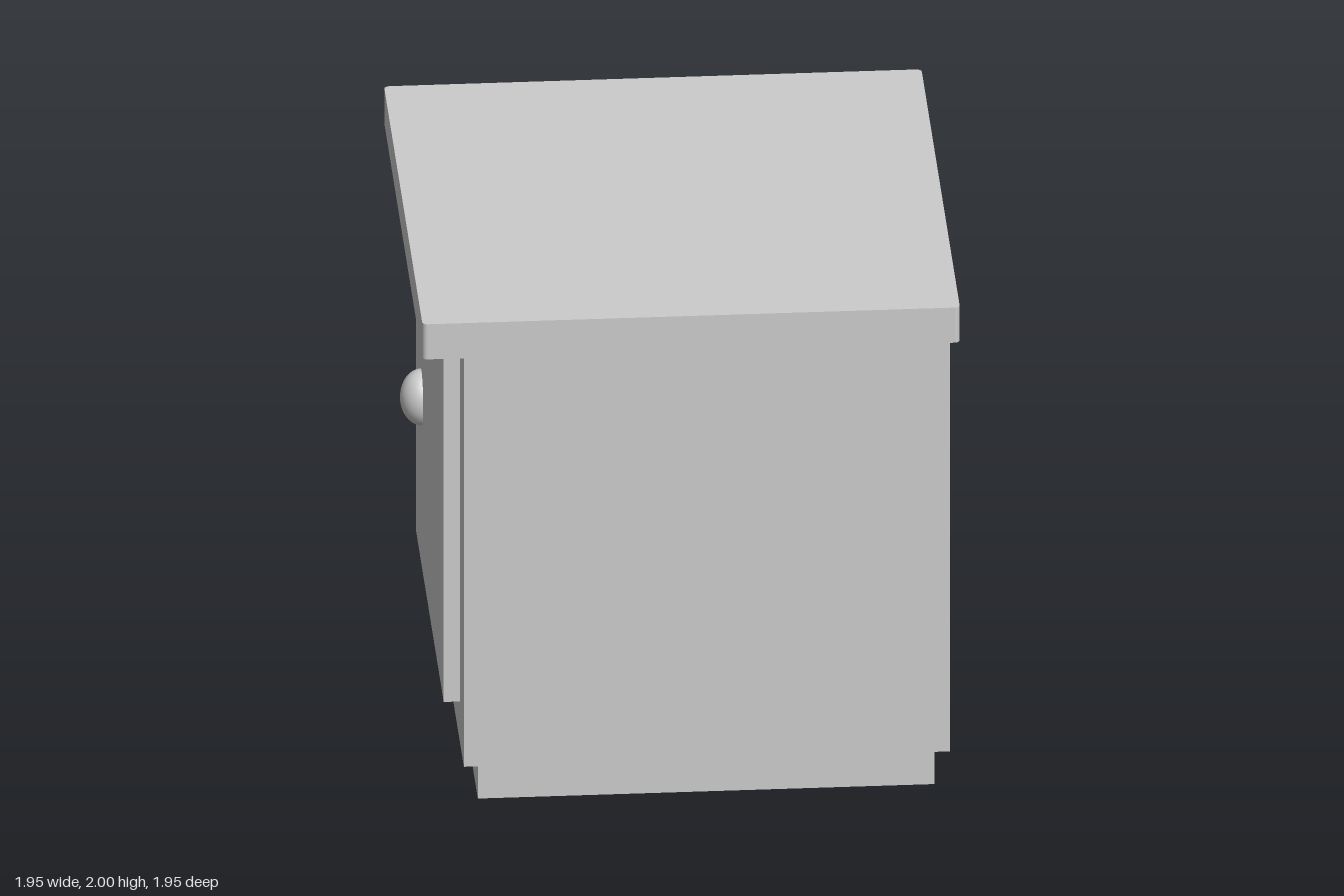
import * as THREE from 'three';

const material = new THREE.MeshStandardMaterial({ color: 0xcccccc });

// Box given by its min and max on each axis
function block(name, [x0, x1], [y0, y1], [z0, z1]) {
  const mesh = new THREE.Mesh(new THREE.BoxGeometry(x1 - x0, y1 - y0, z1 - z0), material);
  mesh.position.set((x0 + x1) / 2, (y0 + y1) / 2, (z0 + z1) / 2);
  mesh.name = name;
  return mesh;
}

// Flat slab with rounded vertical corners, standing on y
function roundedSlab(name, half, r, y, height) {
  const s = new THREE.Shape();
  const c = half - r;
  s.absarc(c, c, r, 0, Math.PI / 2);
  s.absarc(-c, c, r, Math.PI / 2, Math.PI);
  s.absarc(-c, -c, r, Math.PI, Math.PI * 1.5);
  s.absarc(c, -c, r, Math.PI * 1.5, Math.PI * 2);
  s.closePath();
  const geo = new THREE.ExtrudeGeometry(s, { depth: height, bevelEnabled: false, curveSegments: 6 });
  geo.rotateX(-Math.PI / 2);
  const mesh = new THREE.Mesh(geo, material);
  mesh.position.y = y;
  mesh.name = name;
  return mesh;
}

export function createModel() {
  const cabinet = new THREE.Group();
  cabinet.name = 'cabinet';

  // Recessed plinth, body and overhanging top
  cabinet.add(block('plinth', [-0.765, 0.895], [0, 0.16], [-0.84, 0.825]));
  cabinet.add(block('body', [-0.82, 0.947], [0.16, 1.86], [-0.885, 0.885]));
  cabinet.add(roundedSlab('top', 0.977, 0.02, 1.858, 0.142));

  // Door panel on the -x side
  cabinet.add(block('door', [-0.88, -0.82], [0.333, 1.73], [-0.7, 0.7]));

  // Domed oval knob, half of an ellipsoid facing -x
  const dome = new THREE.SphereGeometry(1, 32, 12, 0, Math.PI * 2, 0, Math.PI / 2);
  dome.rotateZ(Math.PI / 2);
  dome.scale(0.078, 0.107, 0.088);
  const knob = new THREE.Mesh(dome, material);
  knob.position.set(-0.88, 1.01, -0.43);
  knob.name = 'knob';
  cabinet.add(knob);

  return cabinet;
}
